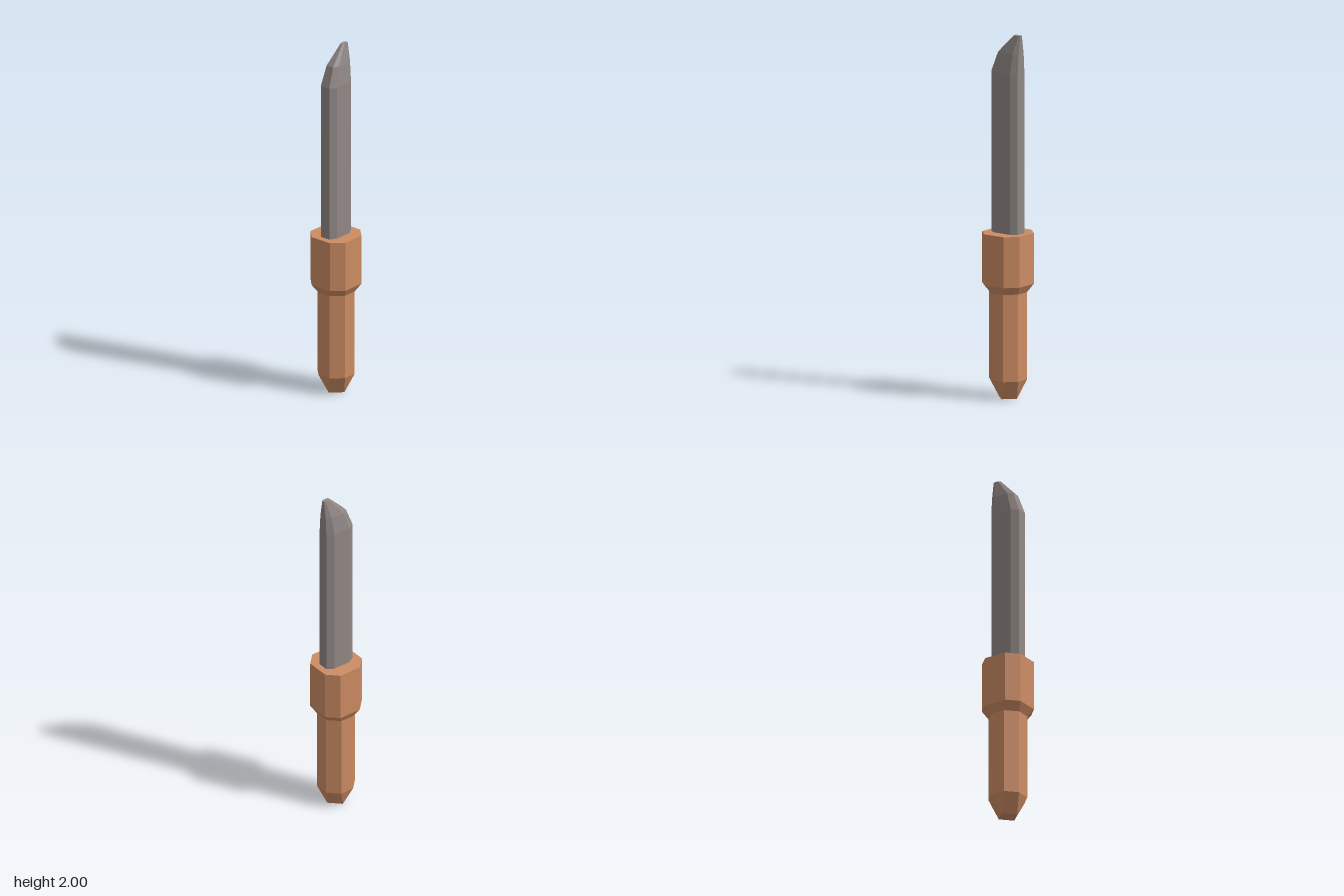
import * as THREE from 'three';

// Eight-sided section: x of the four corner columns, half depth at the ends and along the sides
function ring(y, xs, zEnd, zSide) {
  const [a, b, c, d] = xs;
  return [
    [d, y, -zEnd], [d, y, zEnd], [c, y, zSide], [b, y, zSide],
    [a, y, zEnd], [a, y, -zEnd], [b, y, -zSide], [c, y, -zSide],
  ];
}

// Symmetrical section: half width and half length of each straight side
const regular = (y, h, c) => ring(y, [-h, -c, c, h], c, h);

// Faceted skin over a stack of sections, closed at both ends
function loft(name, rings, color) {
  const pos = [];
  const tri = (...pts) => pts.forEach((p) => pos.push(...p));
  const n = rings[0].length;
  for (let k = 0; k < rings.length - 1; k++) {
    const lo = rings[k], hi = rings[k + 1];
    for (let i = 0; i < n; i++) {
      const j = (i + 1) % n;
      tri(lo[i], hi[i], lo[j]);
      tri(lo[j], hi[i], hi[j]);
    }
  }
  const bottom = rings[0], top = rings[rings.length - 1];
  for (let i = 1; i < n - 1; i++) {
    tri(bottom[0], bottom[i], bottom[i + 1]);
    tri(top[0], top[i + 1], top[i]);
  }
  const geometry = new THREE.BufferGeometry();
  geometry.setAttribute('position', new THREE.Float32BufferAttribute(pos, 3));
  geometry.computeVertexNormals();
  const mesh = new THREE.Mesh(geometry, new THREE.MeshStandardMaterial({ color, flatShading: true }));
  mesh.name = name;
  return mesh;
}

export function createModel() {
  const model = new THREE.Group();
  model.name = 'knife';

  // Handle: diamond pommel, slim grip, flared collar
  model.add(loft('handle', [
    regular(0, 0.06, 0),
    regular(0.105, 0.098, 0.04),
    regular(0.585, 0.098, 0.04),
    regular(0.63, 0.125, 0.065),
    regular(0.91, 0.125, 0.065),
  ], 0xcd8c63));

  // Blade: straight spine at +x, edge sweeping up to the tip
  model.add(loft('blade', [
    ring(0.88, [-0.09, -0.052, 0.051, 0.088], 0.03, 0.052),
    ring(1.79, [-0.09, -0.052, 0.051, 0.088], 0.03, 0.052),
    ring(1.9, [-0.05, -0.02, 0.06, 0.088], 0.023, 0.038),
    ring(2, [0.045, 0.055, 0.079, 0.088], 0.007, 0.013),
  ], 0x918885));

  return model;
}
